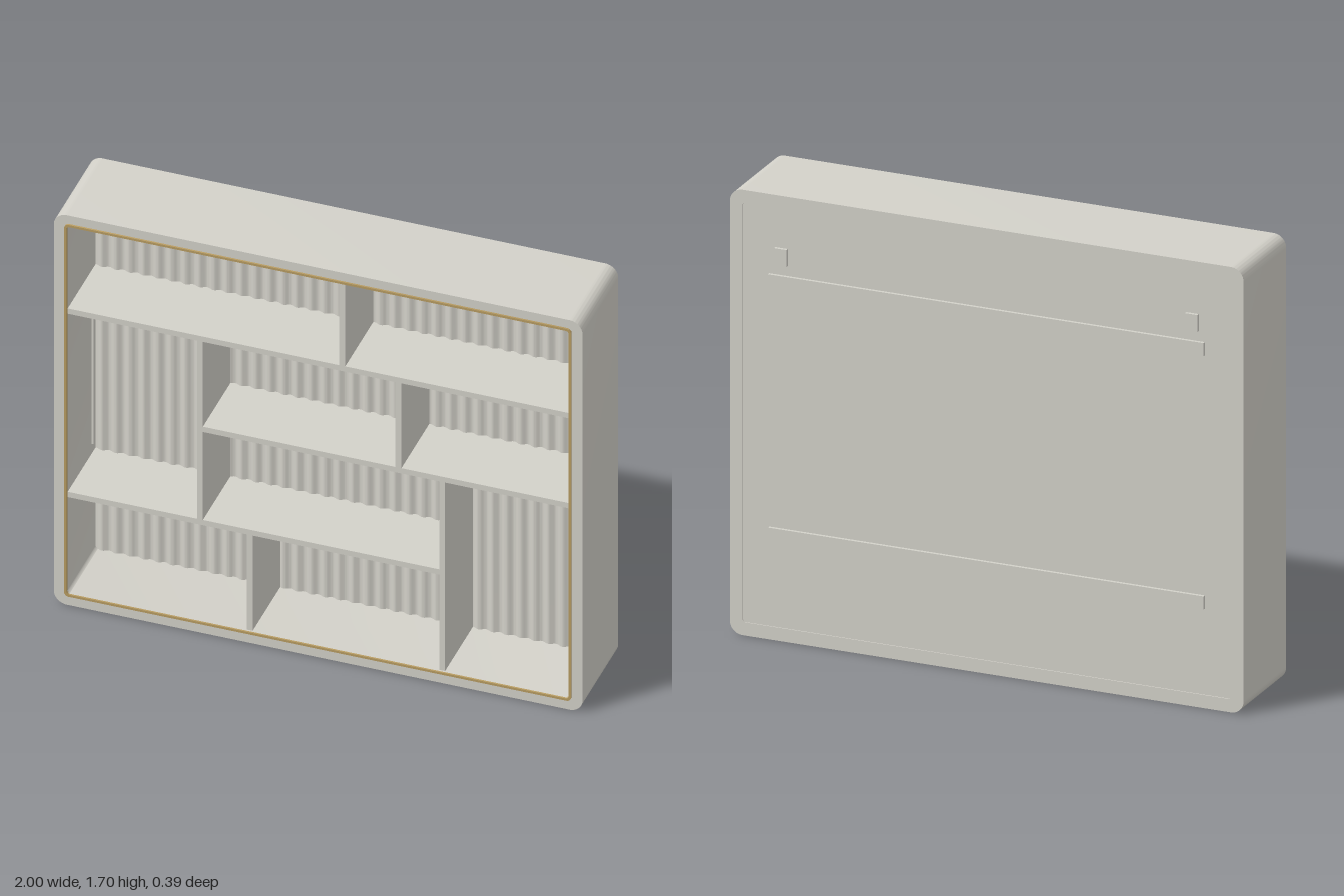
import * as THREE from 'three';
import { toCreasedNormals } from 'three/addons/utils/BufferGeometryUtils.js';

const W = 0.95, BOTTOM = 0.05, TOP = 1.65;   // inner opening
const BACK = -0.105, FRONT = 0.18;           // shelf depth range

// Rounded rectangle centred on x, between two heights
function roundedRect(path, hw, y0, y1, r) {
  path.moveTo(hw, y0 + r);
  path.lineTo(hw, y1 - r);
  path.absarc(hw - r, y1 - r, r, 0, Math.PI / 2);
  path.lineTo(-hw + r, y1);
  path.absarc(-hw + r, y1 - r, r, Math.PI / 2, Math.PI);
  path.lineTo(-hw, y0 + r);
  path.absarc(-hw + r, y0 + r, r, Math.PI, Math.PI * 1.5);
  path.lineTo(hw - r, y0);
  path.absarc(hw - r, y0 + r, r, Math.PI * 1.5, Math.PI * 2);
  return path;
}

export function createModel() {
  const model = new THREE.Group();
  model.name = 'wallShelf';

  const material = (name, color) => {
    const m = new THREE.MeshStandardMaterial({ color });
    m.name = name;
    return m;
  };
  const body = material('warmGrey', 0xd3d1c9);
  const gold = material('brassTrim', 0xb89c62);

  const add = (name, geometry, mat) => {
    const mesh = new THREE.Mesh(geometry, mat);
    mesh.name = name;
    model.add(mesh);
    return mesh;
  };
  const box = (name, x0, x1, y0, y1, z0, z1, mat = body) =>
    add(name, new THREE.BoxGeometry(x1 - x0, y1 - y0, z1 - z0), mat)
      .position.set((x0 + x1) / 2, (y0 + y1) / 2, (z0 + z1) / 2);

  // Extruded rounded ring, used for the case and its trim
  const ring = (name, outer, inner, z0, z1, mat) => {
    const shape = roundedRect(new THREE.Shape(), ...outer);
    shape.holes.push(roundedRect(new THREE.Path(), ...inner));
    const geo = new THREE.ExtrudeGeometry(shape, { depth: z1 - z0, bevelEnabled: false, curveSegments: 10 });
    geo.translate(0, 0, z0);
    add(name, toCreasedNormals(geo, 0.6), mat);
  };
  ring('outerCase', [1, 0, 1.695, 0.05], [W, BOTTOM, TOP, 0.012], -0.186, 0.187, body);
  ring('frontTrim', [0.959, 0.041, 1.659, 0.018], [W, BOTTOM, TOP, 0.012], 0.182, 0.194, gold);

  // Back panel with vertical rounded ribs on its front
  const RIBS = 36, STEPS = 8;
  const profile = [new THREE.Vector2(W, 0.182), new THREE.Vector2(-W, 0.182)];
  for (let i = 0; i <= RIBS * STEPS; i++) {
    const wave = 0.5 - 0.5 * Math.cos((i / STEPS) * Math.PI * 2);
    profile.push(new THREE.Vector2(-W + (2 * W * i) / (RIBS * STEPS), 0.112 - 0.01 * wave));
  }
  const panel = new THREE.ExtrudeGeometry(new THREE.Shape(profile), { depth: TOP - BOTTOM, bevelEnabled: false });
  panel.rotateX(-Math.PI / 2);
  panel.translate(0, BOTTOM, 0);
  add('ribbedBackPanel', toCreasedNormals(panel, 0.7), body);

  // Shelves: x range, y range
  for (const [x0, x1, y0, y1] of [
    [-W, W, 1.262, 1.285],
    [-0.457, W, 0.87, 0.893],
    [-W, 0.475, 0.464, 0.487],
  ]) box('shelf', x0, x1, y0, y1, BACK - 0.01, FRONT);

  // Upright dividers: centre x, y range
  for (const [x, y0, y1] of [
    [0.09, 1.285, TOP],
    [-0.45, 0.487, 1.262],
    [0.302, 0.893, 1.262],
    [0.467, BOTTOM, 0.87],
    [-0.262, BOTTOM, 0.464],
  ]) box('divider', x - 0.011, x + 0.011, y0, y1, BACK - 0.01, FRONT);

  // Slim light channels under the shelves, near the back
  for (const [x0, x1, y] of [
    [-0.95, 0.08, TOP], [0.1, 0.95, TOP],
    [-0.44, 0.29, 1.262], [0.313, 0.95, 1.262],
    [-0.44, 0.456, 0.87],
    [-0.95, -0.273, 0.464], [-0.251, 0.456, 0.464],
  ]) box('lightChannel', x0 + 0.03, x1 - 0.03, y - 0.007, y, -0.088, -0.07);

  // Vertical channels in the two tall compartments
  box('sideLightChannel', -W, -W + 0.007, 0.53, 1.21, -0.088, -0.07);
  box('sideLightChannel', W - 0.007, W, 0.1, 0.82, -0.088, -0.07);

  // Mounting rails and hanging pads on the back
  for (const y of [0.378, 1.342]) box('mountingRail', -0.848, 0.848, y, y + 0.05, -0.194, -0.18);
  for (const x of [-0.8, 0.8]) box('hangingPad', x - 0.024, x + 0.024, 1.43, 1.495, -0.194, -0.18);

  return model;
}
